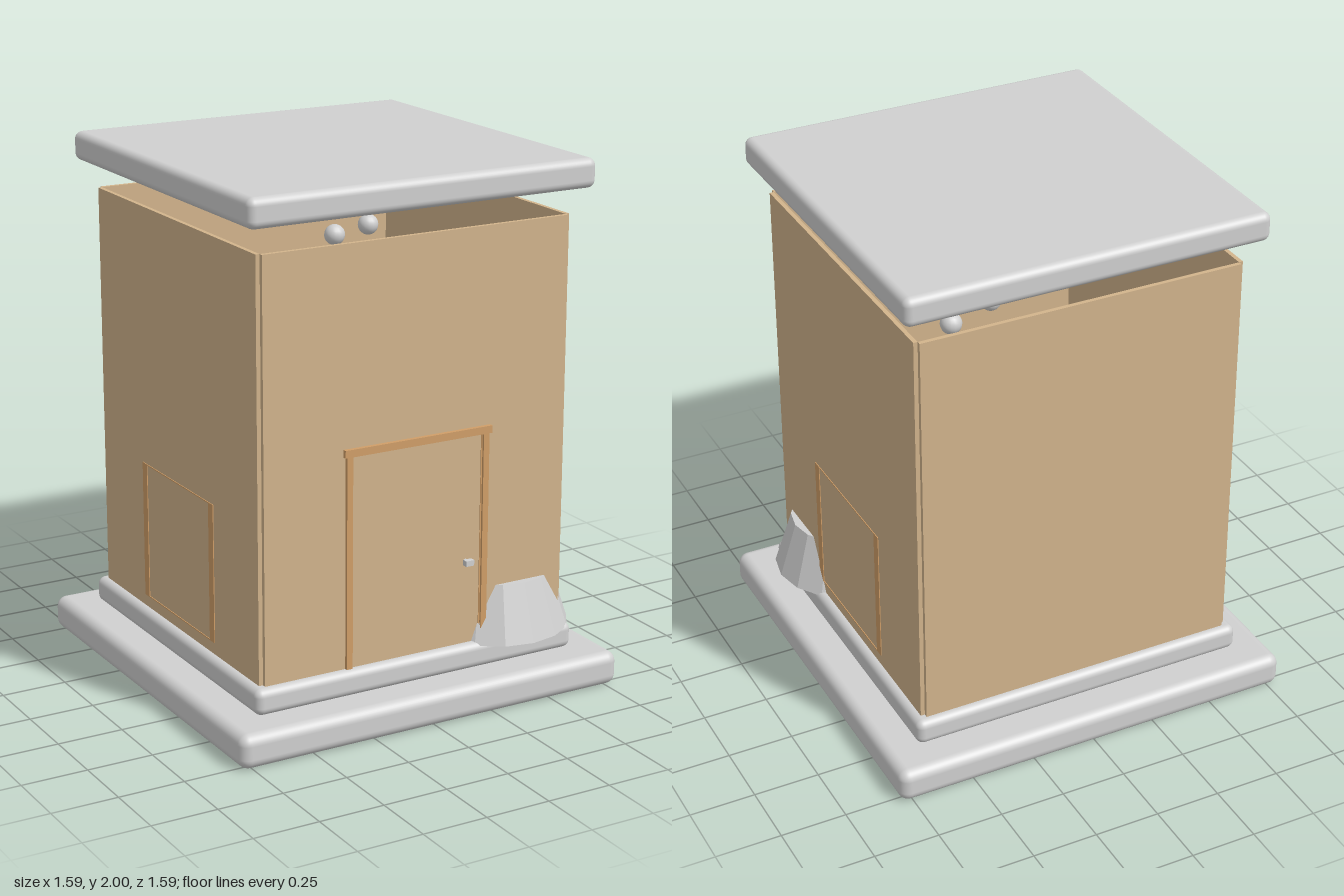
import * as THREE from 'three';
import { RoundedBoxGeometry } from 'three/addons/geometries/RoundedBoxGeometry.js';

const stone = new THREE.MeshStandardMaterial({ color: 0xd0d0d0 });
stone.name = 'light grey stone';
const wall = new THREE.MeshStandardMaterial({ color: 0xd2b48c });
wall.name = 'tan wall';
const trim = new THREE.MeshStandardMaterial({ color: 0xd09e68 });
trim.name = 'orange wood trim';
const facetedStone = stone;

export function createModel() {
  const model = new THREE.Group();
  model.name = 'smallHouse';

  const add = (name, geometry, material, x, y, z, parent = model) => {
    const mesh = new THREE.Mesh(geometry, material);
    mesh.name = name;
    mesh.position.set(x, y, z);
    parent.add(mesh);
    return mesh;
  };
  // Box given by its lower and upper corners
  const box = (name, a, b, material, parent) =>
    add(name, new THREE.BoxGeometry(b[0] - a[0], b[1] - a[1], b[2] - a[2]), material,
      (a[0] + b[0]) / 2, (a[1] + b[1]) / 2, (a[2] + b[2]) / 2, parent);
  // Square slab with soft edges
  const slab = (name, size, y0, y1, radius) =>
    add(name, new RoundedBoxGeometry(size, y1 - y0, size, 4, radius), stone, 0, (y0 + y1) / 2, 0);

  // Stepped base and floating roof
  slab('baseSlab', 1.594, 0, 0.13, 0.04);
  slab('floorSlab', 1.34, 0.13, 0.23, 0.03);
  slab('roofSlab', 1.404, 1.89, 2, 0.03);

  // Four thin walls, leaving a small notch at each corner
  for (const s of [-1, 1]) {
    const inner = s < 0 ? -0.638 : 0.622, outer = inner + 0.016;
    box(s > 0 ? 'frontWall' : 'backWall', [-0.622, 0.225, inner], [0.622, 1.79, outer], wall);
    box(s > 0 ? 'leftWall' : 'rightWall', [inner, 0.225, -0.622], [outer, 1.79, 0.622], wall);
  }

  // Front door surround
  const door = new THREE.Group();
  door.name = 'door';
  model.add(door);
  for (const s of [-1, 1]) {
    const x = s * 0.284;
    box('doorJamb', [x - 0.012, 0.23, 0.63], [x + 0.012, 1.03, 0.65], trim, door);
    box('jambStop', [s * 0.27 - 0.003, 0.23, 0.63], [s * 0.27 + 0.003, 1.03, 0.641], trim, door);
  }
  box('doorHead', [-0.305, 1.027, 0.63], [0.305, 1.055, 0.654], trim, door);

  // Door handle
  const stem = add('handleStem', new THREE.CylinderGeometry(0.008, 0.008, 0.03, 12), stone, 0.207, 0.55, 0.65, door);
  stem.rotation.x = Math.PI / 2;
  box('handleKnob', [0.19, 0.54, 0.652], [0.224, 0.561, 0.674], stone, door);

  // Shallow frames on both side walls
  for (const s of [-1, 1]) {
    const frame = new THREE.Group();
    frame.name = 'sideFrame';
    model.add(frame);
    const x0 = s > 0 ? 0.634 : -0.641, x1 = x0 + 0.007;
    for (const z of [-0.265, 0.27])
      box('sideJamb', [x0, 0.275, z - 0.018], [x1, 0.805, z + 0.018], trim, frame);
    for (const y of [0.275, 0.801])
      box('sideRail', [x0, y, -0.265], [x1, y + 0.004, 0.27], trim, frame);
  }

  // Faceted stone tub standing in the corner and passing through the walls
  const tub = new THREE.CylinderGeometry(0.22, 0.29, 0.215, 16).toNonIndexed();
  tub.computeVertexNormals();
  add('cornerTub', tub, facetedStone, 0.45, 0.3225, 0.45);

  // Small hanging globes inside
  for (const [x, z] of [[0.13, -0.18], [0.33, -0.27]])
    add('hangingGlobe', new THREE.SphereGeometry(0.04, 16, 12), stone, x, 1.61, z);

  return model;
}
